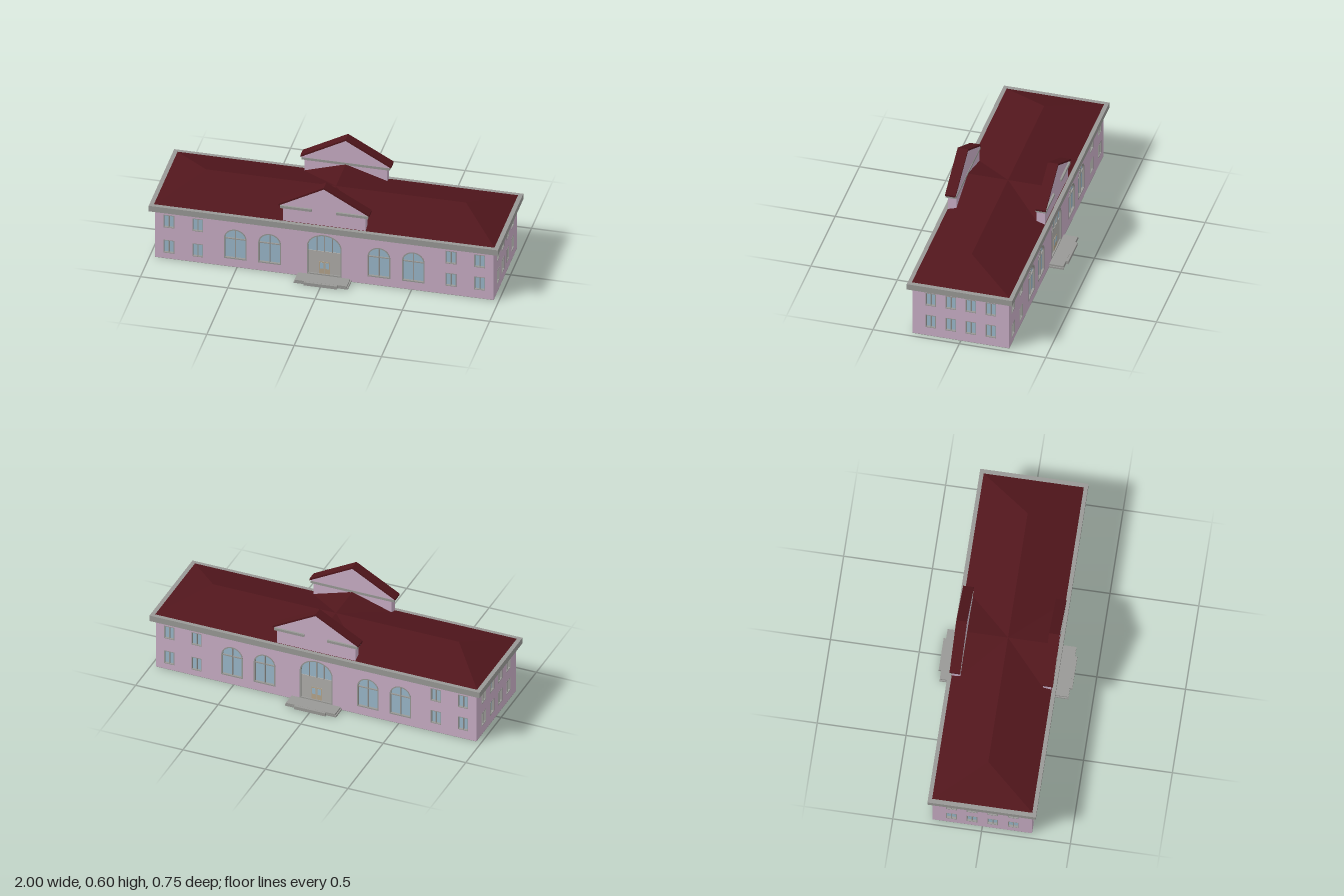
import * as THREE from 'three';

const mat = (color) => new THREE.MeshStandardMaterial({ color, flatShading: true });
const PINK = mat(0xc9aec6), GREY = mat(0x999996), ROOF = mat(0x51161c);
const GLASS = mat(0x9ab8cb), PANEL = mat(0xb0aeaa), DOOR = mat(0xb5a58c);

function add(parent, name, geometry, material) {
  const mesh = new THREE.Mesh(geometry, material);
  mesh.name = name;
  parent.add(mesh);
  return mesh;
}

// box given by its min and max corners
function block(parent, name, material, x0, x1, y0, y1, z0, z1) {
  const mesh = add(parent, name, new THREE.BoxGeometry(x1 - x0, y1 - y0, z1 - z0), material);
  mesh.position.set((x0 + x1) / 2, (y0 + y1) / 2, (z0 + z1) / 2);
  return mesh;
}

// extrusion of an outline between two depths
function slab(parent, name, material, shape, z0, z1) {
  const geometry = new THREE.ExtrudeGeometry(shape, { depth: z1 - z0, bevelEnabled: false, curveSegments: 16 });
  return add(parent, name, geometry.translate(0, 0, z0), material);
}

const polygon = (pts) => new THREE.Shape(pts.map(([x, y]) => new THREE.Vector2(x, y)));

// window outline: rectangle, or rectangle topped by an arch of the given rise
function outline({ x, y0, y1, w, rise = 0 }, inset = 0, Type = THREE.Shape) {
  const h = w / 2 - inset, spring = y1 - rise, s = new Type();
  s.moveTo(x - h, y0 + inset);
  s.lineTo(x + h, y0 + inset);
  if (rise) {
    s.lineTo(x + h, spring);
    s.absellipse(x, spring, h, rise - inset, 0, Math.PI, false, 0);
  } else {
    s.lineTo(x + h, y1 - inset);
    s.lineTo(x - h, y1 - inset);
  }
  s.closePath();
  return s;
}

// frame, recessed glass and bars of one opening
function windowUnit(parent, o) {
  const unit = new THREE.Group();
  unit.name = o.door ? 'entrance' : o.rise ? 'archedWindow' : 'window';
  parent.add(unit);
  const t = o.rise ? 0.007 : 0.004;
  const ring = outline(o);
  ring.holes.push(outline(o, t, THREE.Path));
  slab(unit, 'frame', GREY, ring, -0.016, 0.001);
  add(unit, 'glass', new THREE.ShapeGeometry(outline(o, t * 0.5), 16), GLASS).position.z = -0.012;

  const spring = o.y1 - o.rise;
  if (o.door) {
    // fanlight bars above a panelled double door
    for (const x of [-0.045, 0, 0.045]) {
      const top = spring + (o.rise - 0.005) * Math.sqrt(1 - (x / 0.095) ** 2);
      block(unit, 'fanlightBar', GREY, x - 0.002, x + 0.002, 0.17, top, -0.014, -0.005);
    }
    block(unit, 'doorSurround', PANEL, -0.095, 0.095, 0.02, 0.172, -0.014, -0.008);
    for (const s of [-1, 1]) {
      const leaf = block(unit, 'doorLeaf', DOOR, -0.015, 0.015, 0.02, 0.105, -0.012, -0.006);
      leaf.position.x = s * 0.0165;
      block(unit, 'doorGlass', GLASS, s * 0.0165 - 0.01, s * 0.0165 + 0.01, 0.06, 0.098, -0.012, -0.005);
    }
  } else {
    const top = o.y1 - t;
    block(unit, 'mullion', GREY, o.x - 0.0025, o.x + 0.0025, o.y0 + t, top, -0.014, -0.003);
    if (o.rise) block(unit, 'transom', GREY, o.x - o.w / 2 + t, o.x + o.w / 2 - t, spring - 0.003, spring + 0.003, -0.014, -0.004);
  }
}

// wall facing +z with its outer surface at z = 0
function wall(name, half, openings) {
  const group = new THREE.Group();
  group.name = name;
  const shape = polygon([[-half, 0.002], [half, 0.002], [half, 0.312], [-half, 0.312]]);
  for (const o of openings) shape.holes.push(outline(o, 0, THREE.Path));
  slab(group, 'wallSurface', PINK, shape, -0.02, 0);
  openings.forEach((o) => windowUnit(group, o));
  return group;
}

// gabled parapet above each long wall
function pediment(parent) {
  const group = new THREE.Group();
  group.name = 'pediment';
  parent.add(group);
  slab(group, 'pedimentWall', PINK, polygon([[-0.237, 0.33], [0.237, 0.33], [0.237, 0.44],
    [0.253, 0.452], [0, 0.594], [-0.253, 0.452], [-0.237, 0.44]]), 0.232, 0.28);
  slab(group, 'pedimentRoof', ROOF, polygon([[-0.26, 0.449], [0, 0.592], [0.26, 0.449],
    [0.26, 0.46], [0, 0.603], [-0.26, 0.46]]), 0.231, 0.291);
  block(group, 'innerBand', GREY, -0.237, 0.237, 0.434, 0.449, 0.23, 0.24);
  for (const s of [-1, 1]) {
    const a = s * 0.07, b = s * 0.252;
    block(group, 'corniceReturn', GREY, Math.min(a, b), Math.max(a, b), 0.434, 0.449, 0.231, 0.291);
  }
}

function steps(parent) {
  const group = new THREE.Group();
  group.name = 'steps';
  parent.add(group);
  block(group, 'lowerStep', GREY, -0.155, 0.155, 0, 0.01, 0.27, 0.363);
  block(group, 'upperStep', GREY, -0.148, 0.148, 0.01, 0.02, 0.281, 0.362);
  block(group, 'frontStep', GREY, -0.095, 0.095, 0, 0.0195, 0.35, 0.376);
}

// hipped main roof: four sloping faces
function hipRoof(a, b, r, y0, y1) {
  const A = [-a, y0, b], B = [a, y0, b], C = [a, y0, -b], D = [-a, y0, -b];
  const L = [-r, y1, 0], R = [r, y1, 0];
  const faces = [A, B, R, A, R, L, C, D, L, C, L, R, B, C, R, D, A, L];
  const geometry = new THREE.BufferGeometry();
  geometry.setAttribute('position', new THREE.Float32BufferAttribute(faces.flat(), 3));
  geometry.computeVertexNormals();
  return geometry;
}

export function createModel() {
  const model = new THREE.Group();
  model.name = 'building';

  // openings of the long and short walls
  const long = [{ x: 0, y0: 0.02, y1: 0.285, w: 0.2, rise: 0.085, door: true }];
  for (const s of [-1, 1]) {
    for (const x of [0.313, 0.51]) long.push({ x: s * x, y0: 0.052, y1: 0.247, w: 0.131, rise: 0.065 });
    for (const x of [0.725, 0.89]) {
      const low = s < 0 ? 0.037 : 0.056;
      long.push({ x: s * x, y0: low, y1: low + 0.085, w: 0.062, rise: 0 });
      long.push({ x: s * x, y0: 0.203, y1: 0.286, w: 0.062, rise: 0 });
    }
  }
  const short = [];
  for (const x of [-0.174, -0.058, 0.058, 0.174])
    for (const y of [0.055, 0.203]) short.push({ x, y0: y, y1: y + 0.085, w: 0.06, rise: 0 });

  // each half of the building repeats, turned half round
  for (const turn of [0, Math.PI]) {
    const half = new THREE.Group();
    half.name = turn ? 'backHalf' : 'frontHalf';
    half.rotation.y = turn;
    model.add(half);
    const main = wall('longWall', 0.97, long);
    main.position.z = 0.28;
    const end = wall('endWall', 0.26, short);
    end.rotation.y = Math.PI / 2;
    end.position.x = 0.97;
    half.add(main, end);
    pediment(half);
    steps(half);
  }

  block(model, 'core', PINK, -0.949, 0.949, 0.002, 0.312, -0.259, 0.259);
  block(model, 'foundation', GREY, -0.97, 0.97, 0, 0.002, -0.28, 0.28);
  block(model, 'cornice', GREY, -1, 1, 0.311, 0.347, -0.305, 0.305);

  // main roof and the cross gable between the pediments
  add(model, 'mainRoof', hipRoof(0.975, 0.282, 0.745, 0.3475, 0.438), ROOF);
  slab(model, 'crossGable', ROOF, polygon([[-0.29, 0.3475], [0.29, 0.3475], [0, 0.438]]), -0.233, 0.233);

  return model;
}
